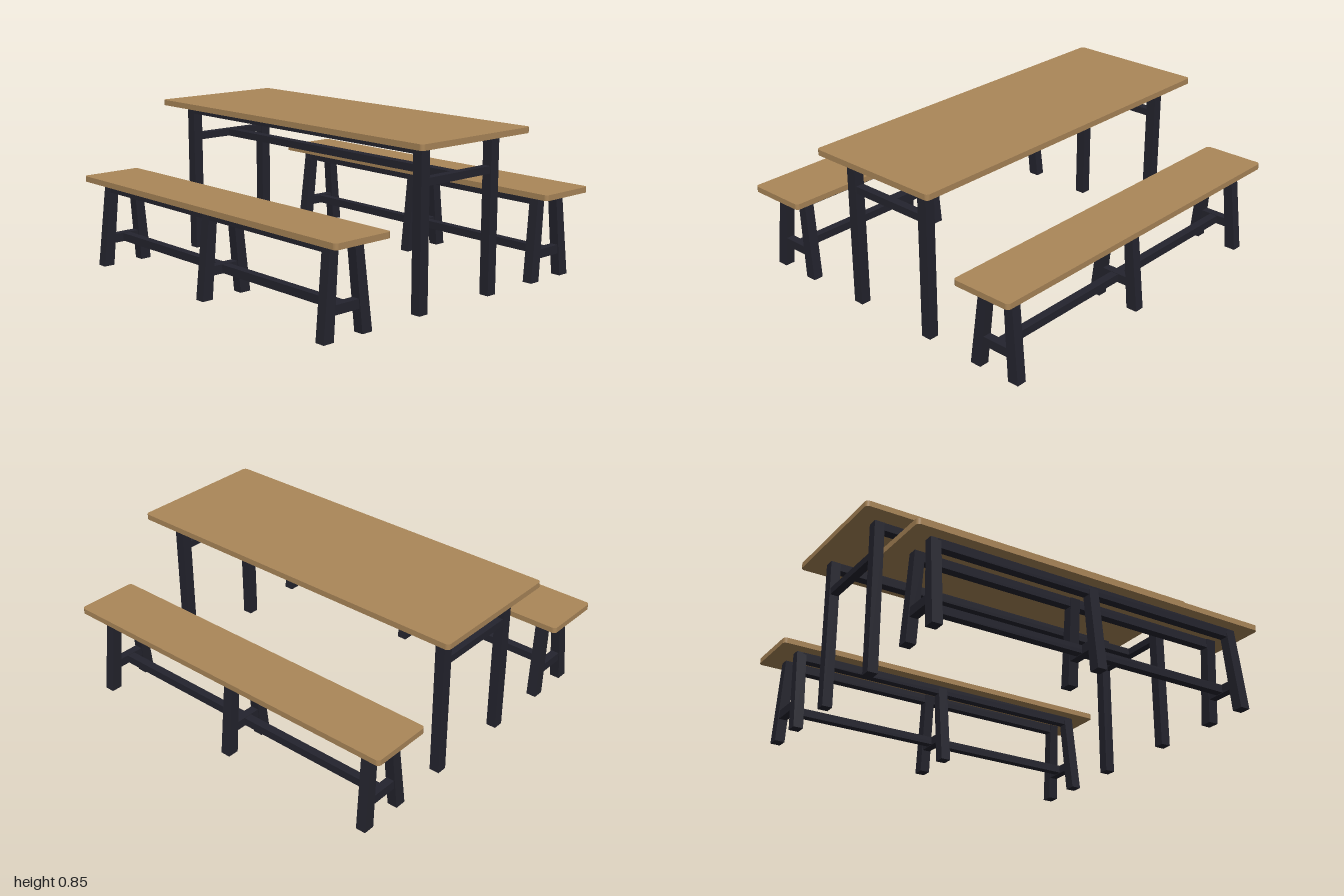
import * as THREE from 'three';

const wood = new THREE.MeshStandardMaterial({ color: 0xab8759 });
wood.name = 'warm wood';
const paint = new THREE.MeshStandardMaterial({ color: 0x24242e });
paint.name = 'dark paint';

function add(parent, name, geometry, material) {
  const mesh = new THREE.Mesh(geometry, material);
  mesh.name = name;
  parent.add(mesh);
  return mesh;
}

// Straight bar between two corners
function bar(parent, name, [x0, y0, z0], [x1, y1, z1]) {
  const mesh = add(parent, name, new THREE.BoxGeometry(x1 - x0, y1 - y0, z1 - z0), paint);
  mesh.position.set((x0 + x1) / 2, (y0 + y1) / 2, (z0 + z1) / 2);
}

// Leg whose top and foot have their own centre and size: [x, z, width, depth]
function splayedLeg(parent, name, height, foot, top) {
  const geometry = new THREE.BoxGeometry(1, height, 1);
  geometry.translate(0, height / 2, 0);
  const p = geometry.attributes.position;
  for (let i = 0; i < p.count; i++) {
    const [x, z, w, d] = p.getY(i) > height / 2 ? top : foot;
    p.setX(i, x + p.getX(i) * w);
    p.setZ(i, z + p.getZ(i) * d);
  }
  geometry.computeVertexNormals();
  add(parent, name, geometry, paint);
}

// Plank with rounded corners in plan
function plank(parent, name, depth, y, thickness, z) {
  const w = 1, d = depth / 2, r = 0.02;
  const s = new THREE.Shape();
  s.moveTo(-w + r, -d);
  s.lineTo(w - r, -d);
  s.absarc(w - r, -d + r, r, -Math.PI / 2, 0);
  s.absarc(w - r, d - r, r, 0, Math.PI / 2);
  s.absarc(-w + r, d - r, r, Math.PI / 2, Math.PI);
  s.absarc(-w + r, -d + r, r, Math.PI, Math.PI * 1.5);
  const geometry = new THREE.ExtrudeGeometry(s, { depth: thickness, bevelEnabled: false, curveSegments: 5 });
  geometry.rotateX(-Math.PI / 2);
  add(parent, name, geometry, wood).position.set(0, y, z);
}

function createTable() {
  const table = new THREE.Group();
  table.name = 'table';
  plank(table, 'tableTop', 0.76, 0.815, 0.03, -0.02);
  const mid = -0.0125;
  for (const side of [-1, 1]) {
    const z = mid + side * 0.245;
    for (const end of [-1, 1]) {
      const x = end * 0.875;
      bar(table, 'tableLeg', [x - 0.027, 0, z - 0.028], [x + 0.027, 0.815, z + 0.028]);
    }
    // Long rail under the top
    bar(table, 'tableRail', [-0.85, 0.772, z - 0.026], [0.85, 0.815, z + 0.026]);
  }
  // End bars joined by a central stretcher
  for (const end of [-1, 1]) {
    const x = end * 0.875;
    bar(table, 'tableEndBar', [x - 0.022, 0.62, mid - 0.22], [x + 0.022, 0.658, mid + 0.22]);
  }
  bar(table, 'tableStretcher', [-0.86, 0.62, mid - 0.025], [0.86, 0.658, mid + 0.025]);
  return table;
}

function createBench(name, seatZ, frameZ) {
  const bench = new THREE.Group();
  bench.name = name;
  plank(bench, 'benchSeat', 0.336, 0.45, 0.03, seatZ);
  // Three A-shaped frames
  for (const end of [-1, 0, 1]) {
    for (const side of [-1, 1]) {
      splayedLeg(bench, 'benchLeg', 0.45,
        [end * 0.88, frameZ + side * 0.118, 0.054, 0.061],
        [end * 0.869, frameZ + side * 0.073, 0.054, 0.05]);
    }
    const x = end * 0.876;
    bar(bench, 'benchCrossbar', [x - 0.022, 0.12, frameZ - 0.09], [x + 0.022, 0.167, frameZ + 0.09]);
  }
  // Long rails under the seat and the low stretcher
  for (const side of [-1, 1]) {
    const z = frameZ + side * 0.076;
    bar(bench, 'benchRail', [-0.86, 0.403, z - 0.023], [0.86, 0.45, z + 0.023]);
  }
  bar(bench, 'benchStretcher', [-0.865, 0.123, frameZ - 0.022], [0.865, 0.165, frameZ + 0.022]);
  return bench;
}

export function createModel() {
  const model = new THREE.Group();
  model.name = 'tableWithBenches';
  model.add(createTable());
  model.add(createBench('frontBench', 0.717, 0.7225));
  model.add(createBench('backBench', -0.718, -0.7115));
  return model;
}
